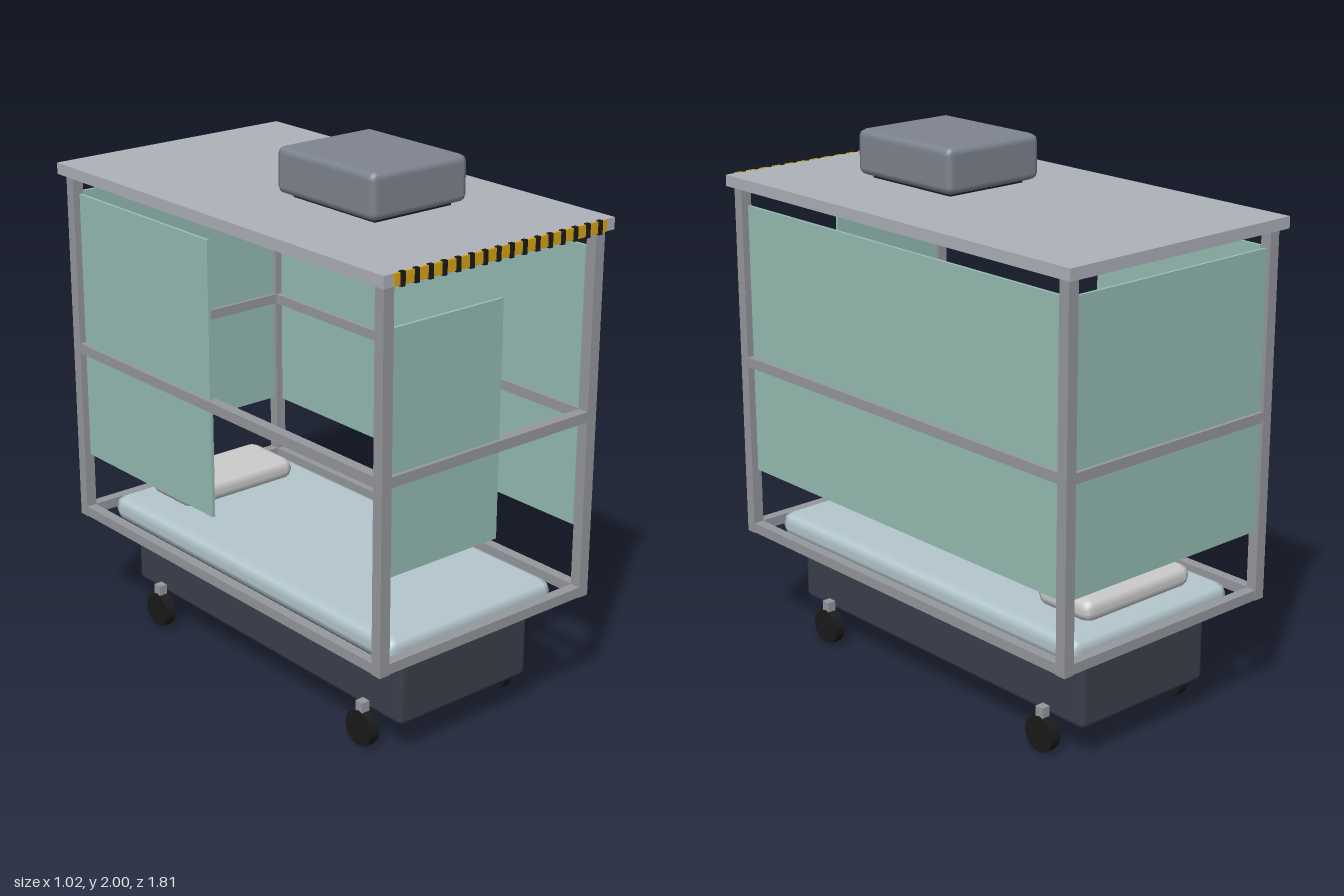
import * as THREE from 'three';
import { RoundedBoxGeometry } from 'three/addons/geometries/RoundedBoxGeometry.js';

const mat = (color) => new THREE.MeshStandardMaterial({ color });

export function createModel() {
  const model = new THREE.Group();
  const frameMat = mat(0x96989e), roofMat = mat(0xaeb2ba), glassMat = mat(0x96bdb4);
  const darkMat = mat(0x3b404c), unitMat = mat(0x7f8590), blackMat = mat(0x1a1a1a);
  const yellowMat = mat(0xd9a514), mattressMat = mat(0xb4c8ce), pillowMat = mat(0xe4e4e4);

  const add = (name, geometry, material, x, y, z) => {
    const mesh = new THREE.Mesh(geometry, material);
    mesh.name = name;
    mesh.position.set(x, y, z);
    model.add(mesh);
    return mesh;
  };
  // Boxes given by their extents along each axis
  const box = (name, material, [x0, x1], [y0, y1], [z0, z1], radius = 0) => {
    const size = [x1 - x0, y1 - y0, z1 - z0];
    const geometry = radius ? new RoundedBoxGeometry(...size, 1, radius) : new THREE.BoxGeometry(...size);
    return add(name, geometry, material, (x0 + x1) / 2, (y0 + y1) / 2, (z0 + z1) / 2);
  };

  // Frame: corner posts, lower rails and middle rails
  const T = 0.042, PX = 0.468, PZ = 0.853, CZ = -0.005;
  for (const sx of [-1, 1]) {
    for (const sz of [-1, 1]) {
      add('cornerPost', new THREE.BoxGeometry(T, 1.345, T), frameMat, sx * PX, 1.0975, CZ + sz * PZ);
    }
  }
  for (const [name, y] of [['lowerRail', 0.446], ['middleRail', 1.11]]) {
    for (const s of [-1, 1]) {
      add(name, new THREE.BoxGeometry(T * 0.95, 0.038, 2 * PZ), frameMat, s * PX, y, CZ);
      add(name, new THREE.BoxGeometry(2 * PX, 0.038, T * 0.95), frameMat, 0, y, CZ + s * PZ);
    }
  }

  // Thin side panels, centred in the frame; front and right ones are half open
  const G = 0.006, full = [0.685, 1.705];
  box('leftPanel', glassMat, [PX - G, PX + G], full, [-0.82, 0.81]);
  box('rightPanel', glassMat, [-PX - G, -PX + G], full, [-0.82, -0.05]);
  box('backPanel', glassMat, [-0.45, 0.45], full, [CZ - PZ - G, CZ - PZ + G]);
  box('frontPanel', glassMat, [-0.45, 0.04], [0.77, 1.62], [CZ + PZ - G, CZ + PZ + G]);

  // Roof with warning strip along the front edge
  box('roof', roofMat, [-0.51, 0.51], [1.77, 1.812], [-0.905, 0.89]);
  box('warningStrip', yellowMat, [-0.47, 0.465], [1.772, 1.813], [0.888, 0.898]);
  for (let i = 0; i < 16; i++) {
    const x = -0.44 + i * 0.058;
    box('warningStripe', blackMat, [x - 0.008, x + 0.008], [1.768, 1.817], [0.888, 0.904]);
  }

  // Roof unit
  box('roofUnitBase', blackMat, [-0.17, 0.17], [1.822, 1.845], [0.04, 0.46]);
  box('roofUnit', unitMat, [-0.213, 0.213], [1.833, 2.0], [-0.005, 0.5], 0.028);

  // Bed and undercarriage
  box('mattress', mattressMat, [-0.385, 0.385], [0.395, 0.495], [-0.815, 0.805], 0.042);
  box('pillow', pillowMat, [-0.258, 0.258], [0.495, 0.58], [-0.75, -0.49], 0.038);
  box('baseCabinet', darkMat, [-0.3, 0.3], [0.13, 0.385], [-0.775, 0.765], 0.02);

  // Castors
  const wheelGeometry = new THREE.CylinderGeometry(0.068, 0.068, 0.04, 12).rotateZ(Math.PI / 2);
  for (const x of [-0.322, 0.322]) {
    for (const z of [-0.602, 0.592]) {
      add('wheel', wheelGeometry, blackMat, x, 0.068, z);
      add('wheelBracket', new THREE.BoxGeometry(0.034, 0.07, 0.034), frameMat, x, 0.135, z);
    }
  }
  return model;
}
